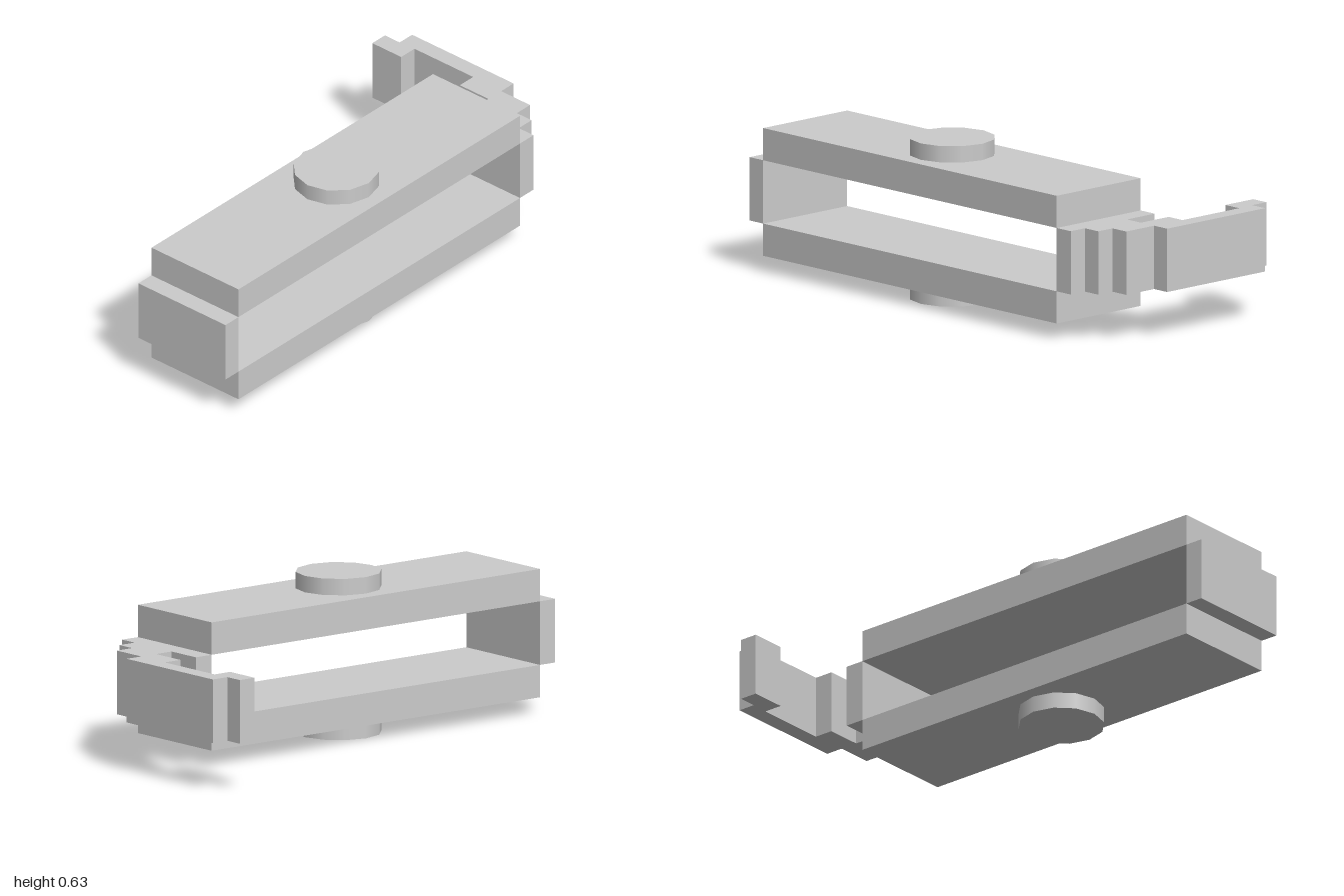
import * as THREE from 'three';

const material = new THREE.MeshStandardMaterial({ color: 0xcccccc });

// Heights of the layers, mirrored about the middle
const MID = 0.314, GAP = 0.124, BAR = 0.25, TOP = 0.314;
const WIDTH = 0.443, BACK = -0.7, FRONT = 0.925;

function addMesh(parent, name, geometry, x, y, z) {
  const mesh = new THREE.Mesh(geometry, material);
  mesh.name = name;
  mesh.position.set(x, y, z);
  parent.add(mesh);
  return mesh;
}

export function createModel() {
  const model = new THREE.Group();
  model.name = 'slottedClip';

  // Upper and lower bars, each with a round stud on its outer face
  for (const [label, s] of [['upper', 1], ['lower', -1]]) {
    addMesh(model, label + 'Bar',
      new THREE.BoxGeometry(WIDTH, BAR - GAP, FRONT - BACK),
      WIDTH / 2, MID + s * (GAP + BAR) / 2, (FRONT + BACK) / 2);
    addMesh(model, label + 'Stud',
      new THREE.CylinderGeometry(0.166, 0.166, TOP - BAR, 12),
      WIDTH / 2, MID + s * (BAR + TOP) / 2, 0.11);
  }

  // Block closing the front of the slot
  addMesh(model, 'frontBlock',
    new THREE.BoxGeometry(WIDTH, 2 * GAP, 1 - FRONT),
    WIDTH / 2, MID, (1 + FRONT) / 2);

  // Stepped hook at the back, outlined in x and z and extruded upward
  const outline = [
    [0, -0.7], [WIDTH, -0.7], [WIDTH, -0.778], [0.368, -0.778],
    [0.368, -0.852], [0.293, -0.852], [0.293, -0.928], [0.146, -0.928],
    [0.146, -1], [-0.371, -1], [-0.371, -0.928], [-0.446, -0.928],
    [-0.446, -0.855], [-0.299, -0.855], [-0.299, -0.932], [0, -0.932],
    [0, -0.855], [0.146, -0.855], [0.146, -0.778], [0, -0.778],
  ];
  const shape = new THREE.Shape(outline.map(([x, z]) => new THREE.Vector2(x, -z)));
  const hook = new THREE.ExtrudeGeometry(shape, { depth: 2 * GAP, bevelEnabled: false });
  hook.rotateX(-Math.PI / 2);
  addMesh(model, 'backHook', hook, 0, MID - GAP, 0);

  return model;
}
